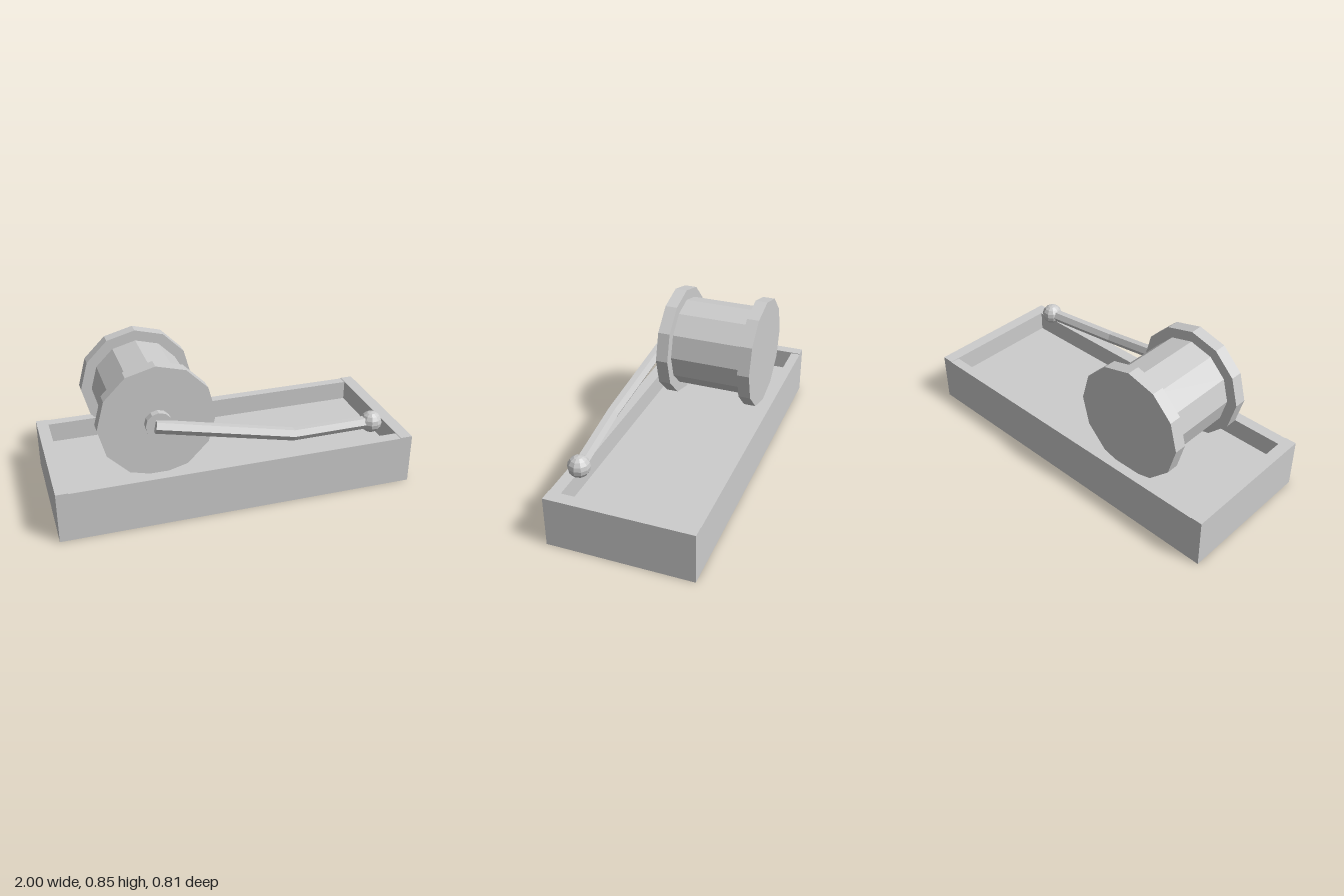
import * as THREE from 'three';

export function createModel() {
  const model = new THREE.Group();
  const grey = new THREE.MeshStandardMaterial({ color: 0xcccccc, flatShading: true });
  grey.name = 'plain grey';

  const add = (name, geometry, parent = model) => {
    const mesh = new THREE.Mesh(geometry, grey);
    mesh.name = name;
    parent.add(mesh);
    return mesh;
  };
  // box given by its lower and upper corners
  const box = (name, a, b, parent) => add(name, new THREE.BoxGeometry(b[0] - a[0], b[1] - a[1], b[2] - a[2]), parent)
    .position.set((a[0] + b[0]) / 2, (a[1] + b[1]) / 2, (a[2] + b[2]) / 2);

  // open tray: floor, two end walls and two slightly lower long walls
  const tray = new THREE.Group();
  tray.name = 'tray';
  model.add(tray);
  box('trayFloor', [-0.935, 0, -0.35], [0.93, 0.17, 0.34], tray);
  box('rightEndWall', [-1, 0, -0.405], [-0.935, 0.288, 0.405], tray);
  box('leftEndWall', [0.93, 0, -0.405], [1, 0.288, 0.405], tray);
  box('frontWall', [-0.935, 0, 0.34], [0.93, 0.284, 0.405], tray);
  box('backWall', [-0.935, 0, -0.405], [0.93, 0.284, -0.35], tray);

  // spool: twelve-sided discs along z, with a corner at the top
  const spool = new THREE.Group();
  spool.name = 'spool';
  spool.position.set(-0.425, 0.532, 0);
  model.add(spool);
  const disc = (name, r, z0, z1) => add(name,
    new THREE.CylinderGeometry(r, r, z1 - z0, 12).rotateX(Math.PI / 2), spool).position.z = (z0 + z1) / 2;
  disc('drum', 0.26, -0.24, 0.18);
  disc('frontFlange', 0.32, 0.18, 0.25);
  disc('backFlange', 0.32, -0.31, -0.24);
  disc('crankHub', 0.072, 0.25, 0.288);

  // bent crank arm: three six-sided rings, the rings tilted square to the path
  const path = [[-0.448, 0.535, 0.298], [0.3, 0.39, 0.345], [0.78, 0.367, 0.304]];
  const slopes = [[-0.194, 0.063], [-0.12, -0.011], [-0.048, -0.085]];
  const arm = new THREE.CylinderGeometry(0.036, 0.036, 2, 6, 2).rotateZ(-Math.PI / 2);
  const p = arm.attributes.position;
  for (let i = 0; i < p.count; i++) {
    const ring = Math.round(p.getX(i)) + 1;
    const [x, y, z] = path[ring], [sy, sz] = slopes[ring];
    const dy = p.getY(i), dz = p.getZ(i);
    p.setXYZ(i, x - sy * dy - sz * dz, y + dy, z + dz);
  }
  arm.computeVertexNormals();
  add('crankArm', arm);

  // ball grip at the end of the arm
  add('crankKnob', new THREE.SphereGeometry(0.061, 10, 8)).position.set(0.785, 0.367, 0.304);

  return model;
}
